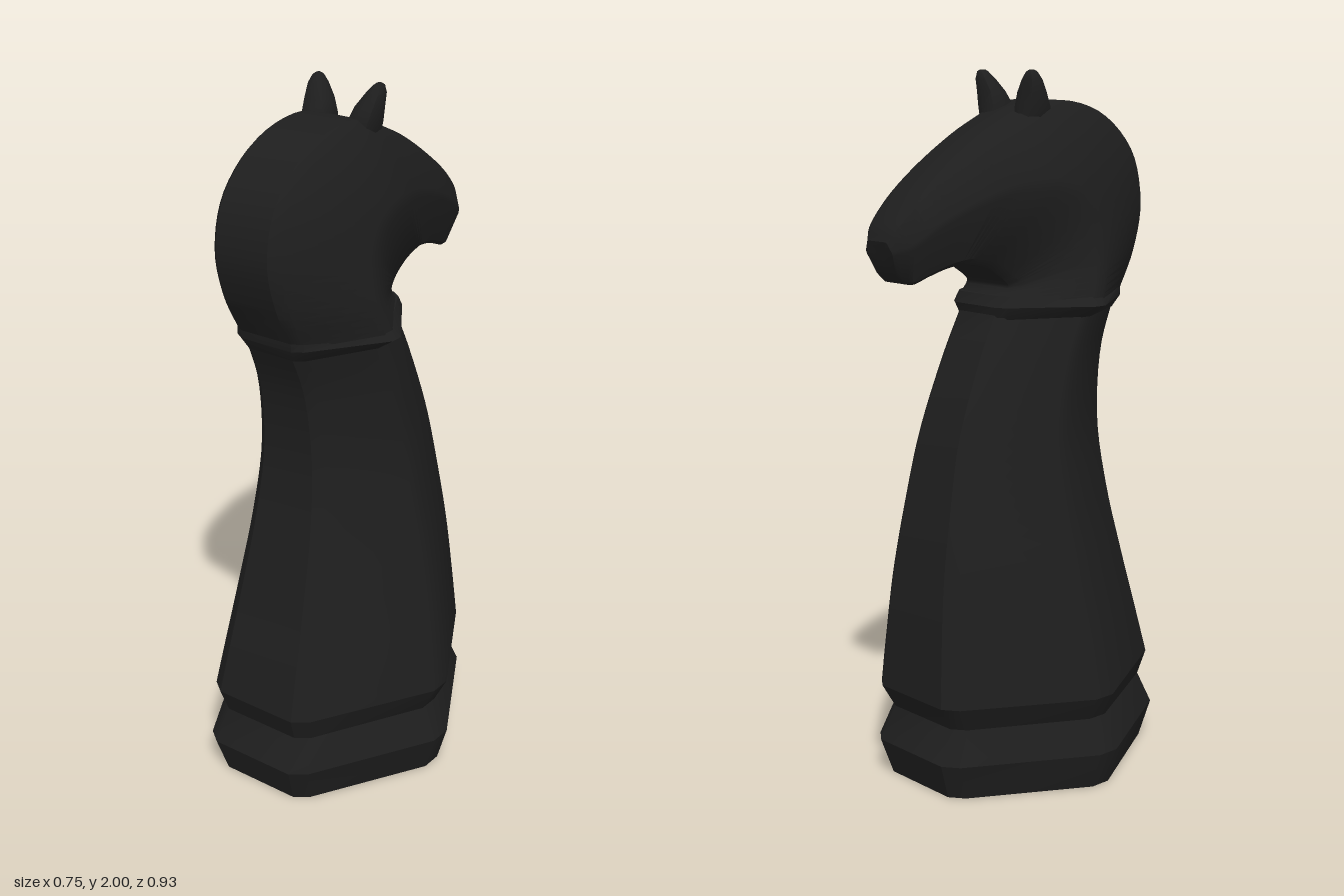
import * as THREE from 'three';
import { toCreasedNormals } from 'three/addons/utils/BufferGeometryUtils.js';

const BEVEL = 0.08;

// Six-sided cross-section with bevelled corners.
// back, mid and front are [z, y]; w is the half width at mid, e the half width of the flats.
function hexRing(back, mid, front, w, e) {
  const ww = (w - BEVEL * e) / (1 - BEVEL);
  const corners = [
    [ww, mid], [e, front], [-e, front], [-ww, mid], [-e, back], [e, back],
  ].map(([x, [z, y]]) => new THREE.Vector3(x, y, z));
  return corners.flatMap((c, i) => [
    c.clone().lerp(corners[(i + 5) % 6], BEVEL),
    c.clone().lerp(corners[(i + 1) % 6], BEVEL),
  ]);
}

// Skin a list of equal-sized rings and close both ends
function loft(rings, crease = 0.6) {
  const n = rings[0].length;
  const pos = [];
  const index = [];
  rings.forEach((r) => r.forEach((p) => pos.push(p.x, p.y, p.z)));
  for (let i = 0; i < rings.length - 1; i++) {
    for (let j = 0; j < n; j++) {
      const k = (j + 1) % n;
      const a = i * n + j, b = i * n + k, c = b + n, d = a + n;
      index.push(a, b, c, a, c, d);
    }
  }
  [0, rings.length - 1].forEach((ri, end) => {
    const centre = rings[ri].reduce((s, p) => s.add(p), new THREE.Vector3()).divideScalar(n);
    const ci = pos.length / 3;
    pos.push(centre.x, centre.y, centre.z);
    for (let j = 0; j < n; j++) {
      const a = ri * n + j, b = ri * n + ((j + 1) % n);
      if (end) index.push(ci, a, b);
      else index.push(ci, b, a);
    }
  });
  const g = new THREE.BufferGeometry();
  g.setAttribute('position', new THREE.Float32BufferAttribute(pos, 3));
  g.setIndex(index);
  return toCreasedNormals(g, crease);
}

// Smoothly interpolate rows of [back, mid, front, w, e] into rings
function smoothRings(rows, steps) {
  const curve = (f) => new THREE.CatmullRomCurve3(rows.map(f), false, 'catmullrom', 0.5);
  const path = (k) => curve((r) => new THREE.Vector3(r[k][0], r[k][1], 0));
  const [back, mid, front] = [0, 1, 2].map(path);
  const size = curve((r) => new THREE.Vector3(r[3], r[4], 0));
  return Array.from({ length: steps + 1 }, (_, i) => {
    const t = i / steps;
    const [b, m, f, s] = [back, mid, front, size].map((c) => c.getPoint(t));
    return hexRing([b.x, b.y], [m.x, m.y], [f.x, f.y], s.x, s.y);
  });
}

// Level row: height, back z, front z, half width, flat half width
const level = ([y, zb, zf, w, e]) => [[zb, y], [(zb + zf) / 2, y], [zf, y], w, e];

export function createModel() {
  const model = new THREE.Group();
  const black = new THREE.MeshStandardMaterial({ color: 0x1e1e1e });
  black.name = 'black';

  function add(name, geometry) {
    const mesh = new THREE.Mesh(geometry, black);
    mesh.name = name;
    model.add(mesh);
    return mesh;
  }

  // Flared foot with a groove above it
  add('base', loft([
    [0, 0.43, -0.335, 0.345, 0.145],
    [0.105, 0.465, -0.37, 0.375, 0.16],
    [0.2, 0.42, -0.325, 0.33, 0.145],
    [0.27, 0.445, -0.365, 0.365, 0.155],
  ].map((r) => hexRing(...level(r)))));

  // Curved, tapering body
  add('body', loft(smoothRings([
    [0.27, 0.445, -0.365, 0.365, 0.155],
    [0.4, 0.41, -0.355, 0.34, 0.145],
    [0.6, 0.355, -0.335, 0.297, 0.13],
    [0.8, 0.305, -0.3, 0.253, 0.115],
    [1.0, 0.278, -0.255, 0.218, 0.1],
    [1.2, 0.295, -0.178, 0.204, 0.09],
    [1.35, 0.35, -0.105, 0.2, 0.085],
  ].map(level), 28)));

  // Thin collar between body and head
  add('collar', loft([
    [1.325, 0.34, -0.108, 0.2, 0.09],
    [1.36, 0.362, -0.118, 0.252, 0.1],
    [1.39, 0.362, -0.1, 0.225, 0.1],
  ].map((r) => hexRing(...level(r)))));

  // Neck and head: sections fan around the throat and run out to the muzzle
  add('head', loft(smoothRings([
    [[0.355, 1.37], [0.13, 1.37], [-0.1, 1.375], 0.235, 0.1],
    [[0.42, 1.49], [0.155, 1.47], [-0.07, 1.41], 0.222, 0.1],
    [[0.452, 1.63], [0.15, 1.57], [-0.085, 1.432], 0.205, 0.1],
    [[0.41, 1.775], [0.12, 1.64], [-0.11, 1.45], 0.196, 0.1],
    [[0.275, 1.885], [0.07, 1.68], [-0.145, 1.47], 0.19, 0.1],
    [[0.09, 1.917], [0, 1.695], [-0.185, 1.482], 0.18, 0.098],
    [[-0.08, 1.857], [-0.1, 1.69], [-0.23, 1.487], 0.16, 0.092],
    [[-0.22, 1.78], [-0.22, 1.655], [-0.28, 1.48], 0.14, 0.083],
    [[-0.35, 1.688], [-0.33, 1.605], [-0.335, 1.462], 0.117, 0.072],
    [[-0.435, 1.607], [-0.41, 1.55], [-0.39, 1.443], 0.09, 0.058],
    [[-0.462, 1.56], [-0.455, 1.53], [-0.43, 1.468], 0.055, 0.04],
  ], 50)));

  // Small pointed ears leaning outwards: y, x, z, half width, half depth
  const earRows = [
    [1.86, 0.07, 0.025, 0.035, 0.05],
    [1.9, 0.075, 0.027, 0.042, 0.05],
    [1.94, 0.083, 0.017, 0.038, 0.037],
    [1.975, 0.095, 0.006, 0.026, 0.026],
    [1.995, 0.1, 0, 0.013, 0.016],
    [2.0, 0.1, 0, 0.006, 0.008],
  ];
  [[1, 'leftEar'], [-1, 'rightEar']].forEach(([side, name]) => {
    const rings = earRows.map(([y, x, z, hw, hd]) => Array.from({ length: 8 }, (_, j) => {
      const a = (j / 8) * Math.PI * 2;
      const c = Math.cos(a), s = Math.sin(a);
      // slightly squared oval
      return new THREE.Vector3(
        side * x + hw * Math.sign(c) * Math.abs(c) ** 0.8, y,
        z - hd * Math.sign(s) * Math.abs(s) ** 0.8);
    }));
    add(name, loft(rings, 0.9));
  });

  return model;
}
